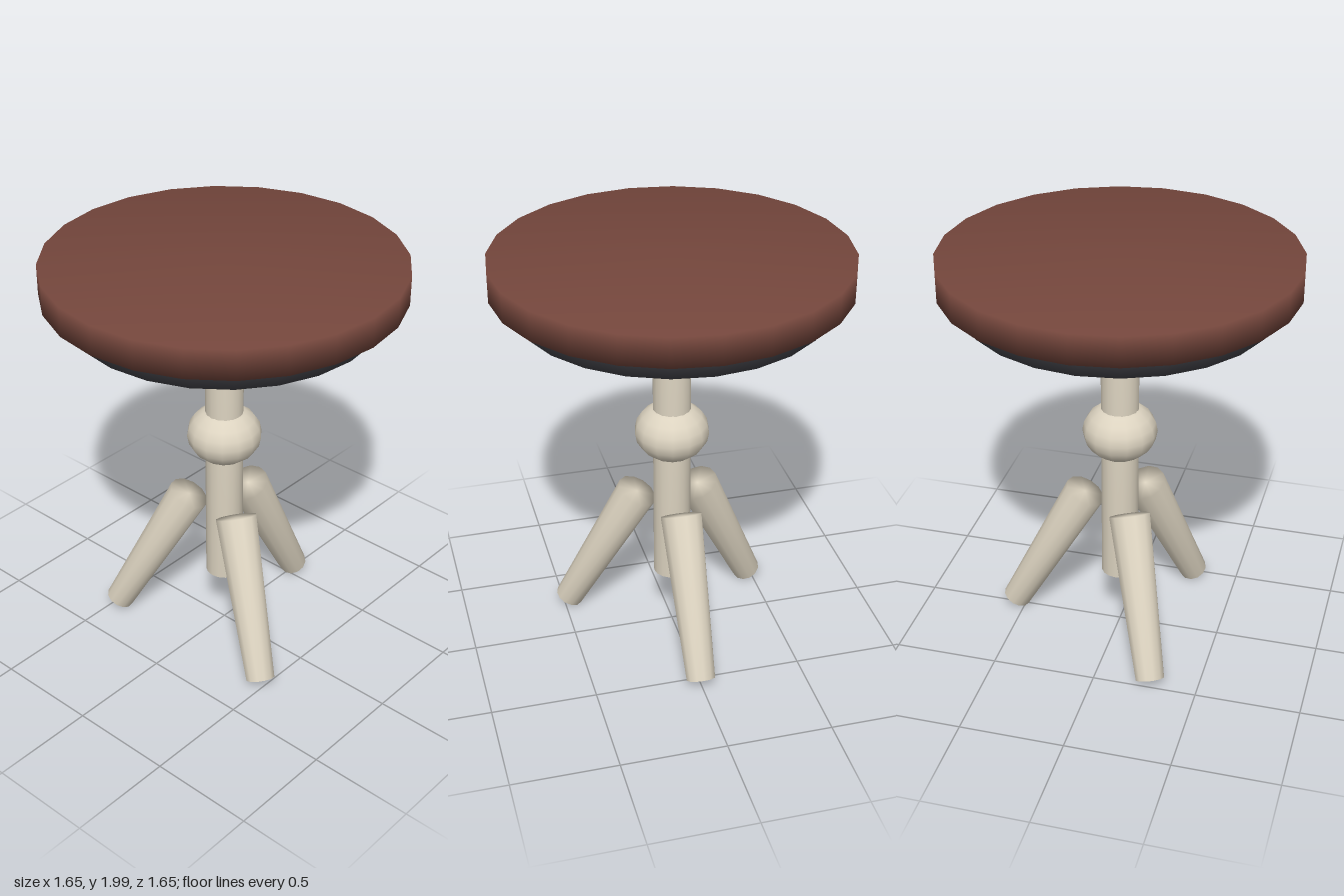
import * as THREE from 'three';
import { mergeVertices } from 'three/addons/utils/BufferGeometryUtils.js';

const mat = (color) => new THREE.MeshStandardMaterial({ color });

// Weld the caps to the sides so the shading rolls softly over the rims.
function soften(geometry) {
  geometry.deleteAttribute('normal');
  geometry.deleteAttribute('uv');
  const welded = mergeVertices(geometry, 1e-4);
  welded.computeVertexNormals();
  return welded;
}

// Closed round bar standing between two heights.
function round(name, rTop, rBottom, y0, y1, sides, material) {
  const geometry = soften(new THREE.CylinderGeometry(rTop, rBottom, y1 - y0, sides));
  const mesh = new THREE.Mesh(geometry, material);
  mesh.name = name;
  mesh.position.y = (y0 + y1) / 2;
  return mesh;
}

export function createModel() {
  const stool = new THREE.Group();
  stool.name = 'stool';
  const leather = mat(0x74463c);
  const metal = mat(0x424248);
  const wood = mat(0xdcd3c0);

  // Seat and the flared plate beneath it
  stool.add(round('seat', 0.825, 0.825, 1.86, 2, 24, leather));
  stool.add(round('seatPlate', 0.64, 0.715, 1.755, 1.86, 24, metal));

  // Central post with a turned, flattened knob
  stool.add(round('post', 0.09, 0.09, 0.315, 1.78, 16, wood));
  const knob = new THREE.Mesh(new THREE.SphereGeometry(0.178, 14, 10), wood);
  knob.name = 'knob';
  knob.scale.y = 0.8;
  knob.rotation.y = Math.PI / 2;
  knob.position.y = 1.103;
  stool.add(knob);

  // Three splayed legs, tapering towards the floor
  const top = new THREE.Vector3(0.175, 0.735, 0);
  const foot = new THREE.Vector3(0.547, 0.04, 0);
  const axis = top.clone().sub(foot);
  const half = axis.length() / 2;
  for (let i = 0; i < 3; i++) {
    const leg = round('leg' + (i + 1), 0.1, 0.07, -half, half, 12, wood);
    leg.position.copy(top).add(foot).multiplyScalar(0.5);
    leg.quaternion.setFromUnitVectors(new THREE.Vector3(0, 1, 0), axis.clone().normalize());
    const pivot = new THREE.Group();
    pivot.name = 'legPivot' + (i + 1);
    pivot.rotation.y = (i * Math.PI * 2) / 3;
    pivot.add(leg);
    stool.add(pivot);
  }
  return stool;
}
